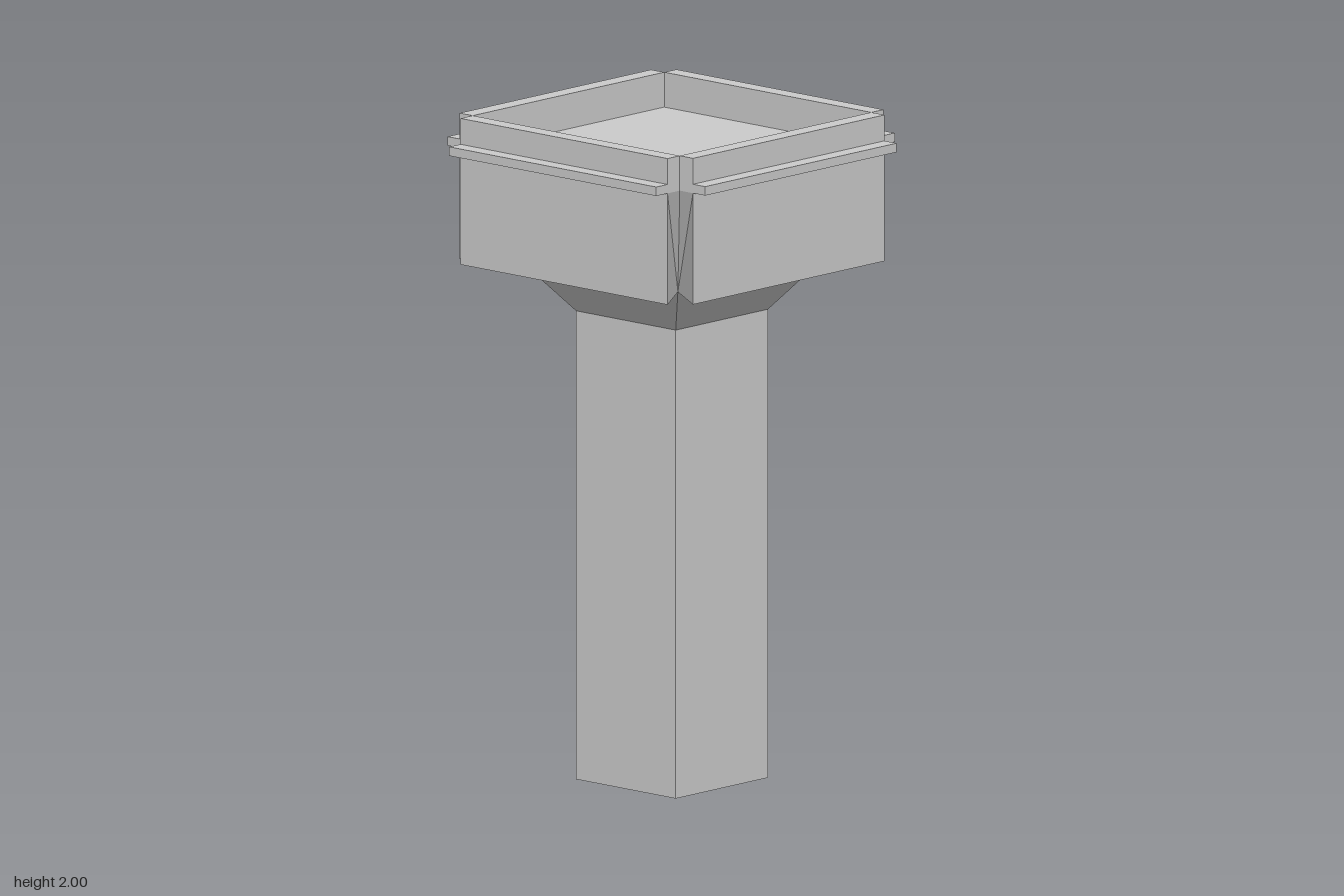
import * as THREE from 'three';

const material = new THREE.MeshStandardMaterial({ color: 0xcccccc, flatShading: true });

function add(parent, name, geometry) {
  const mesh = new THREE.Mesh(geometry, material);
  mesh.name = name;
  parent.add(mesh);
}

// square-section block between two heights, with half widths at bottom and top
function squareBlock(halfBottom, halfTop, y0, y1) {
  const g = new THREE.CylinderGeometry(halfTop * Math.SQRT2, halfBottom * Math.SQRT2, y1 - y0, 4);
  return g.rotateY(Math.PI / 4).translate(0, (y0 + y1) / 2, 0);
}

// box spanning the side's width, between two heights and two depths
function bar(halfWidth, y0, y1, z0, z1) {
  return new THREE.BoxGeometry(halfWidth * 2, y1 - y0, z1 - z0)
    .translate(0, (y0 + y1) / 2, (z0 + z1) / 2);
}

export function createModel() {
  const model = new THREE.Group();
  model.name = 'squarePost';

  const neck = 1.41, capBottom = 1.56, floor = 1.895, top = 2;
  const inner = 0.415, outer = 0.468, narrow = 0.315;

  add(model, 'post', squareBlock(0.2, 0.2, 0, neck));
  add(model, 'flare', squareBlock(0.2, narrow, neck, capBottom));
  add(model, 'trayFloor', squareBlock(narrow, inner, capBottom, floor));

  // lower panel: its inner bottom edge is drawn in to meet the flare
  const panel = bar(inner, capBottom, floor, inner, outer);
  const p = panel.attributes.position;
  for (let i = 0; i < p.count; i++) {
    if (p.getY(i) < capBottom + 0.01 && p.getZ(i) < inner + 0.01) {
      p.setX(i, Math.sign(p.getX(i)) * narrow);
      p.setZ(i, narrow);
    }
  }
  // make the fold of one end match the other end
  panel.index.array.set([0, 2, 3, 0, 3, 1]);
  panel.computeVertexNormals();

  const rim = bar(inner, floor, top, inner, outer);
  const ledge = bar(inner, floor, 1.922, outer, 0.517);

  // four identical sides
  for (let i = 0; i < 4; i++) {
    const side = new THREE.Group();
    side.name = 'side' + (i + 1);
    side.rotation.y = i * Math.PI / 2;
    add(side, 'panel', panel);
    add(side, 'rim', rim);
    add(side, 'ledge', ledge);
    model.add(side);
  }
  return model;
}
